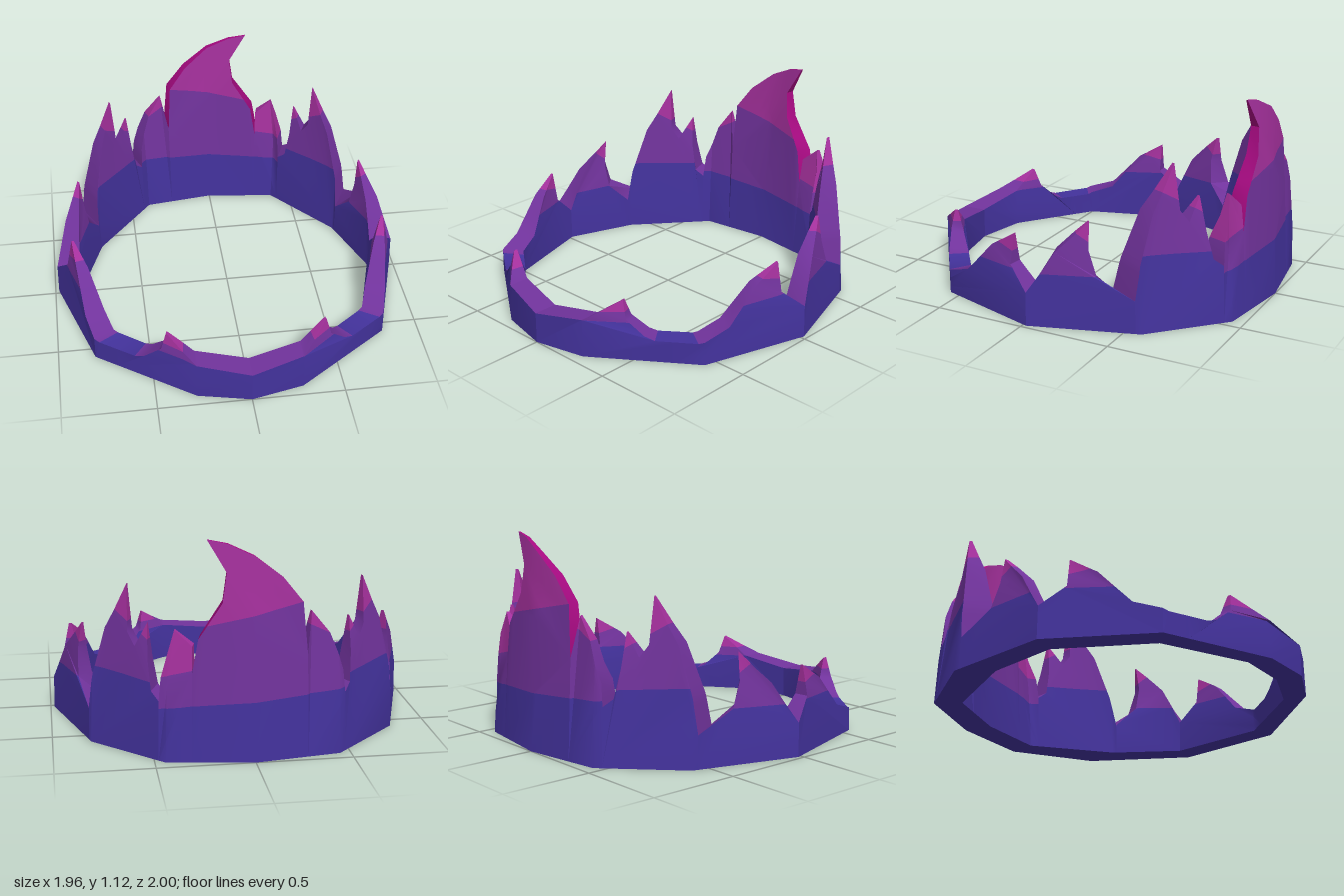
import * as THREE from 'three';
import { toCreasedNormals } from 'three/addons/utils/BufferGeometryUtils.js';

const mat = (name, color) => {
  const m = new THREE.MeshStandardMaterial({ color });
  m.name = name;
  return m;
};

// Ring plan from front (u = 0) round the left side to the back (u = 6): outer x, z, inner x, z
const half = [
  [0, 1.0, 0, 0.865], [0.285, 0.935, 0.285, 0.81], [0.8, 0.565, 0.69, 0.5],
  [0.98, -0.02, 0.845, -0.02], [0.8, -0.59, 0.71, -0.4], [0.445, -0.935, 0.39, -0.79],
  [0, -1.0, 0, -0.84],
];
const ring = [...half, ...half.slice(1, 6).reverse().map(([a, b, c, d]) => [-a, b, -c, d])];

// Position along the ring from z (sides) or from x (back)
const midZ = half.map((p) => (p[1] + p[3]) / 2);
function uFromZ(z) {
  let k = 0;
  while (k < 5 && z < midZ[k + 1]) k++;
  return k + (midZ[k] - z) / (midZ[k] - midZ[k + 1]);
}
const uFromX = (x) => 6 - x / 0.42;

// A wall point is [u, y, thickness, side]; side is 1 outside, -1 inside
function place([u, y, t, s], k) {
  const a = ring[k % 12], b = ring[(k + 1) % 12], f = u - k;
  const [ox, oz, ix, iz] = a.map((v, i) => v + (b[i] - v) * f);
  const w = (1 + s * t) / 2;
  return new THREE.Vector3(ix + (ox - ix) * w, y, iz + (oz - iz) * w);
}

// Keep the part of a convex polygon where f >= 0
function clip(poly, f) {
  const out = [];
  poly.forEach((p, i) => {
    const q = poly[(i + 1) % poly.length], a = f(p), b = f(q);
    if (a >= 0) out.push(p);
    if ((a >= 0) !== (b >= 0)) out.push(p.map((v, j) => v + (q[j] - v) * (a / (a - b))));
  });
  return out;
}

// One flame: top outline [u, y, thickness], and heights of the two colour changes at its ends
function flameGeometry(top, low, high, hotRim) {
  const u0 = top[0][0], u1 = top[top.length - 1][0];
  const tris = [[], [], [], []];
  const above = ([a, b]) => (p) => p[1] - (a + (b - a) * (p[0] - u0) / (u1 - u0));
  const fLow = above(low), fHigh = above(high);

  const emit = (poly, colours) => {
    const bands = [
      clip(poly, (p) => -fLow(p)),
      clip(clip(poly, fLow), (p) => -fHigh(p)),
      clip(clip(poly, fLow), fHigh),
    ];
    bands.forEach((band, i) => {
      for (let k = Math.floor(u0); k < u1; k++) {
        const part = clip(clip(band, (p) => p[0] - k), (p) => k + 1 - p[0]);
        const v = part.map((p) => place(p, k));
        for (let j = 2; j < v.length; j++) {
          const tri = new THREE.Triangle(v[0], v[j - 1], v[j]);
          if (tri.getArea() > 1e-7) tris[colours[i]].push(v[0], v[j - 1], v[j]);
        }
      }
    });
  };

  // Outer and inner faces
  const bottom = [];
  for (let k = Math.ceil(u0 + 1e-6); k < u1 - 1e-6; k++) bottom.push([k, 0, 1]);
  const outline = [[u0, 0, 1], ...bottom, [u1, 0, 1], ...[...top].reverse()];
  const flat = outline.map(([u, y]) => new THREE.Vector2(u, y));
  for (const f of THREE.ShapeUtils.triangulateShape(flat, [])) {
    let t = f.map((i) => outline[i]);
    const [a, b, c] = t;
    if ((b[0] - a[0]) * (c[1] - a[1]) - (c[0] - a[0]) * (b[1] - a[1]) < 0) t = [a, c, b];
    emit(t.map((p) => [...p, 1]), [0, 1, 2]);
    emit(t.map((p) => [...p, -1]).reverse(), [0, 1, 2]);
  }

  // Top rim and underside
  const strip = (a, b, colours) =>
    emit([[...a, 1], [...b, 1], [...b, -1], [...a, -1]], colours);
  for (let i = 1; i < top.length; i++) {
    const a = top[i - 1], b = top[i];
    const flatDip = a[1] < 0.13 && b[1] < 0.13;
    strip(a, b, flatDip ? [0, 0, 0] : hotRim ? [1, 3, 3] : [1, 1, 2]);
  }
  strip([u1, 0, 1], [u0, 0, 1], [0, 0, 0]);

  const geo = new THREE.BufferGeometry().setFromPoints(tris.flat());
  let start = 0;
  tris.forEach((list, i) => {
    if (list.length) geo.addGroup(start, list.length, i);
    start += list.length;
  });
  return toCreasedNormals(geo, 0.65);
}

export function createModel() {
  const group = new THREE.Group();
  group.name = 'flameCrown';
  const materials = [
    mat('indigo', 0x43329c), mat('purple', 0x71339c),
    mat('magenta', 0xa4309c), mat('hot magenta', 0xa50a80),
  ];
  const add = (name, top, low, high, hotRim = false) => {
    const mesh = new THREE.Mesh(flameGeometry(top, low, high, hotRim), materials);
    mesh.name = name;
    group.add(mesh);
  };

  // Mirrored side flames, outlines as [z, y, thickness] from front to back
  const sides = [
    ['FrontFlame', [0.22, 0.2], [0.25, 0.26],
      [[0.9325, 0.17, 1], [0.8725, 0.21, 0.95], [0.77, 0.32, 0.15], [0.755, 0.22, 0.6],
        [0.7, 0.14, 0.9], [0.67, 0.12, 1], [0.61, 0.12, 1]]],
    ['LowFlame', [0.26, 0.28], [0.5, 0.33],
      [[0.61, 0.12, 1], [0.55, 0.12, 1], [0.4, 0.175, 0.9], [0.24, 0.36, 0.5],
        [0.1, 0.45, 0.1], [0.1, 0.29, 0.6], [-0.02, 0.18, 0.95]]],
    ['MiddleFlame', [0.28, 0.29], [0.66, 0.33],
      [[-0.02, 0.18, 0.95], [-0.14, 0.4, 0.6], [-0.3, 0.565, 0.1], [-0.29, 0.42, 0.45],
        [-0.32, 0.285, 0.7], [-0.47, 0.175, 0.95]]],
    ['TallFlame', [0.41, 0.39], [0.82, 0.55],
      [[-0.47, 0.175, 0.95], [-0.5, 0.36, 0.75], [-0.56, 0.62, 0.5], [-0.6, 0.71, 0.35],
        [-0.66, 0.86, 0.08], [-0.67, 0.62, 0.4], [-0.705, 0.555, 0.45], [-0.76, 0.68, 0.08],
        [-0.77, 0.5, 0.5], [-0.79, 0.35, 0.75], [-0.828, 0.31, 0.85]]],
  ];
  for (const [name, low, high, pts] of sides) {
    const top = pts.map(([z, y, t]) => [uFromZ(z), y, t]);
    add('left' + name, top, low, high);
    add('right' + name, top.map(([u, y, t]) => [12 - u, y, t]).reverse(),
      [...low].reverse(), [...high].reverse());
  }

  // Back flame with a tongue on each side, outlines as [x, y, thickness] from left to right
  const edge = 0.42 * (6 - uFromZ(-0.828));
  const back = [
    ['backLeftTongue', [0.27, 0.29], [0.43, 0.47],
      [[edge, 0.31, 0.85], [0.45, 0.43, 0.7], [0.39, 0.67, 0.1], [0.3, 0.59, 0.4], [0.3, 0.45, 0.65]]],
    ['backMainFlame', [0.29, 0.325], [0.68, 0.805],
      [[0.3, 0.45, 0.65], [0.27, 0.63, 0.6], [0.155, 0.81, 0.45], [0.135, 0.96, 0.3],
        [0.23, 1.12, 0.06], [0.13, 1.1, 0.12], [0, 1.04, 0.2], [-0.14, 0.93, 0.35],
        [-0.24, 0.8, 0.45], [-0.26, 0.53, 0.65]]],
    ['backRightTongue', [0.325, 0.34], [0.69, 0.59],
      [[-0.26, 0.53, 0.65], [-0.295, 0.745, 0.1], [-0.38, 0.63, 0.4], [-0.45, 0.43, 0.7],
        [-edge, 0.31, 0.85]]],
  ];
  for (const [name, low, high, pts] of back) {
    add(name, pts.map(([x, y, t]) => [uFromX(x), y, t]), low, high, name === 'backMainFlame');
  }
  return group;
}
